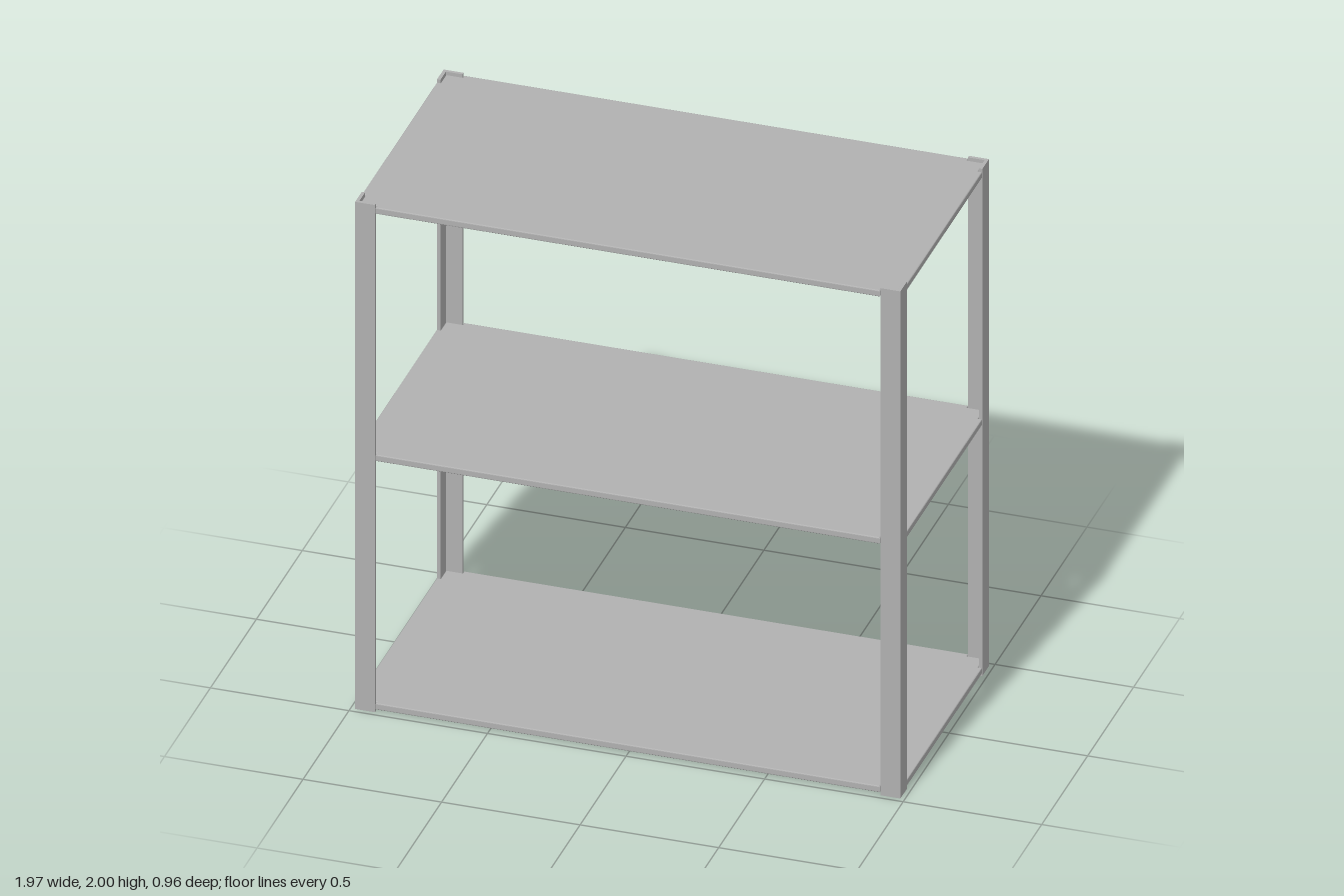
import * as THREE from 'three';

const W = 0.984, D = 0.482; // half width and half depth
const LEG = 0.072, T = 0.012; // angle-post flange width and thickness

// closed shape from [x, y] points
const shapeOf = pts => new THREE.Shape(pts.map(([x, y]) => new THREE.Vector2(x, y)));

// extrude a plan outline upwards from y = 0 to y = height
function slab(shape, height, bevel) {
  const geo = new THREE.ExtrudeGeometry(shape, {
    depth: height - 2 * bevel, bevelEnabled: bevel > 0, bevelThickness: bevel,
    bevelSize: bevel, bevelOffset: -bevel, bevelSegments: 3,
  });
  geo.translate(0, 0, bevel);
  geo.rotateX(-Math.PI / 2);
  return geo;
}

export function createModel() {
  const group = new THREE.Group();
  const steel = new THREE.MeshStandardMaterial({ color: 0xb0b0b0 });
  steel.name = 'grey steel';

  // shelves: full-size panels whose corners step in around the angle posts
  const gap = 0.002;
  const corner = [
    [W, D - LEG - gap], [W - T - gap, D - LEG - gap],
    [W - T - gap, D - T - gap], [W - LEG - gap, D - T - gap], [W - LEG - gap, D],
  ];
  const mirrored = (sx, sy) => {
    const pts = corner.map(([x, y]) => [x * sx, y * sy]);
    return sx * sy > 0 ? pts : pts.reverse();
  };
  const outline = [
    ...mirrored(1, 1), ...mirrored(-1, 1), ...mirrored(-1, -1), ...mirrored(1, -1),
  ];
  const shelfGeo = slab(shapeOf(outline), 0.025, 0.004);
  [['bottomShelf', 0.01], ['middleShelf', 0.99], ['topShelf', 1.965]].forEach(([name, y]) => {
    const shelf = new THREE.Mesh(shelfGeo, steel);
    shelf.name = name;
    shelf.position.y = y;
    group.add(shelf);
  });

  // L-section corner posts, open towards the centre
  for (const [sx, xName] of [[1, 'Left'], [-1, 'Right']]) {
    for (const [sz, zName] of [[1, 'front'], [-1, 'back']]) {
      const section = [
        [W, D], [W - LEG, D], [W - LEG, D - T],
        [W - T, D - T], [W - T, D - LEG], [W, D - LEG],
      ].map(([x, z]) => [x * sx, -z * sz]);
      const post = new THREE.Mesh(slab(shapeOf(section), 2, 0), steel);
      post.name = `${zName}${xName}Post`;
      group.add(post);
    }
  }
  return group;
}
